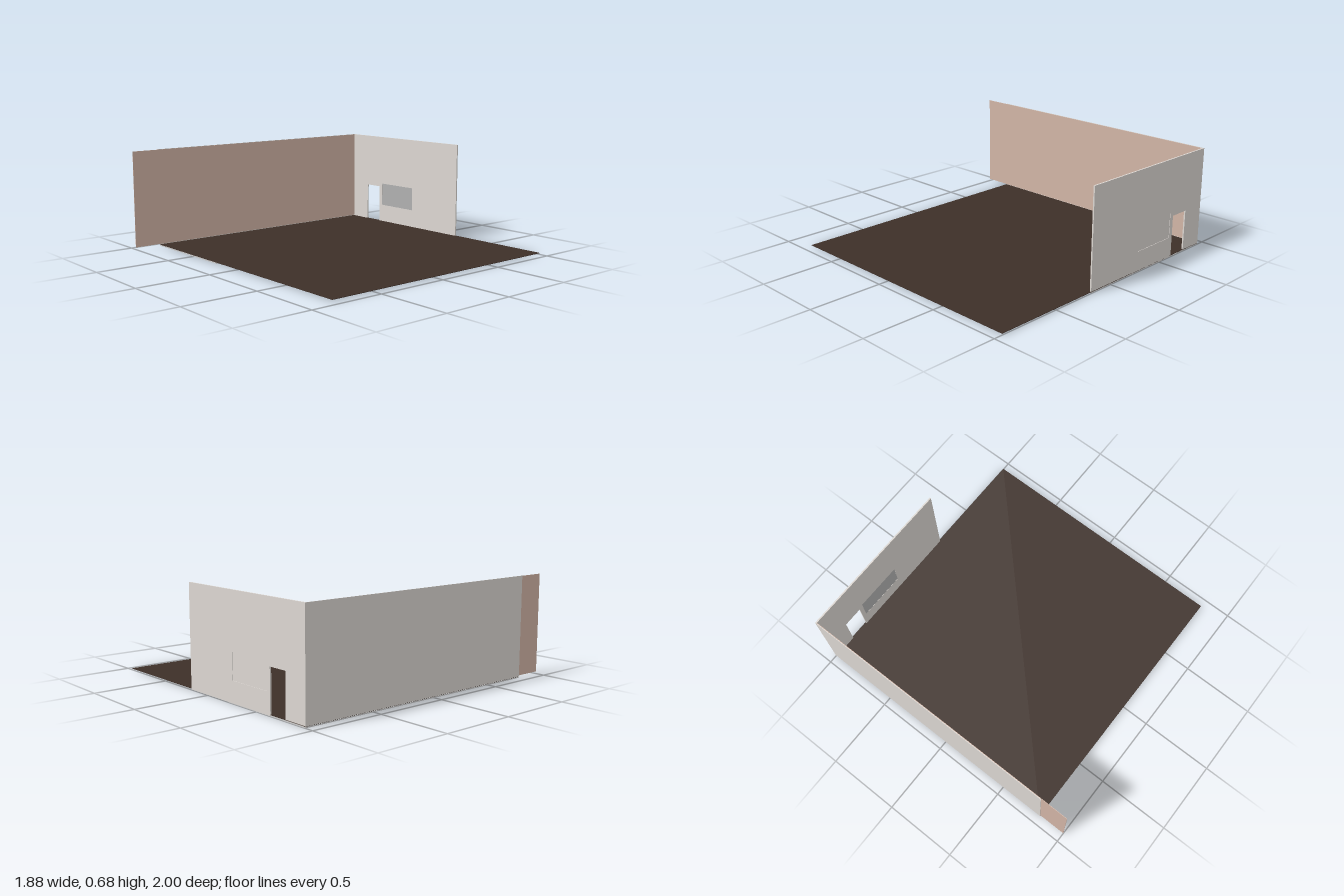
import * as THREE from 'three';

const mat = (color) => new THREE.MeshStandardMaterial({ color, side: THREE.DoubleSide });

// Box given by its minimum and maximum corners
function slab(name, min, max, material) {
  const size = max.map((v, i) => v - min[i]);
  const mesh = new THREE.Mesh(new THREE.BoxGeometry(...size), material);
  mesh.position.set(...max.map((v, i) => (v + min[i]) / 2));
  mesh.name = name;
  return mesh;
}

export function createModel() {
  const group = new THREE.Group();
  group.name = 'roomCorner';
  const plaster = mat(0xdcd7d2);
  const pink = mat(0xd2b5a6);
  const wood = mat(0x3d2f28);
  const grey = mat(0xcccccc);
  const glass = mat(0xb0b0b0);

  // Floor sheet with a foundation strip beneath its right part
  group.add(slab('floor', [-0.94, 0.008, -1], [0.94, 0.011, 0.81], wood));
  group.add(slab('foundation', [-0.94, 0, -1], [-0.22, 0.007, 0.81], grey));

  // Back wall: outline with a door notch and a window hole
  const outline = new THREE.Shape([
    [-0.94, 0.003], [-0.77, 0.003], [-0.77, 0.285], [-0.63, 0.285],
    [-0.63, 0.003], [0.185, 0.003], [0.185, 0.678], [-0.94, 0.678],
  ].map(([x, y]) => new THREE.Vector2(x, y)));
  outline.holes.push(new THREE.Path([
    [-0.6, 0.14], [-0.6, 0.31], [-0.265, 0.31], [-0.265, 0.14],
  ].map(([x, y]) => new THREE.Vector2(x, y))));
  const backWall = new THREE.Mesh(
    new THREE.ExtrudeGeometry(outline, { depth: 0.01, bevelEnabled: false }), plaster);
  backWall.position.z = -1;
  backWall.name = 'backWall';
  group.add(backWall);

  // Window pane, with a pale outer panel behind it
  group.add(slab('windowPane', [-0.6, 0.14, -0.994], [-0.265, 0.31, -0.991], glass));
  group.add(slab('windowOuterPanel', [-0.6, 0.14, -0.997], [-0.265, 0.31, -0.995], plaster));

  // Side wall: outer panel and longer inner lining
  group.add(slab('sideWallOuter', [-0.942, 0.01, -1], [-0.938, 0.678, 0.81], plaster));
  group.add(slab('sideWallLining', [-0.937, 0.015, -0.99], [-0.934, 0.676, 1], pink));

  return group;
}
